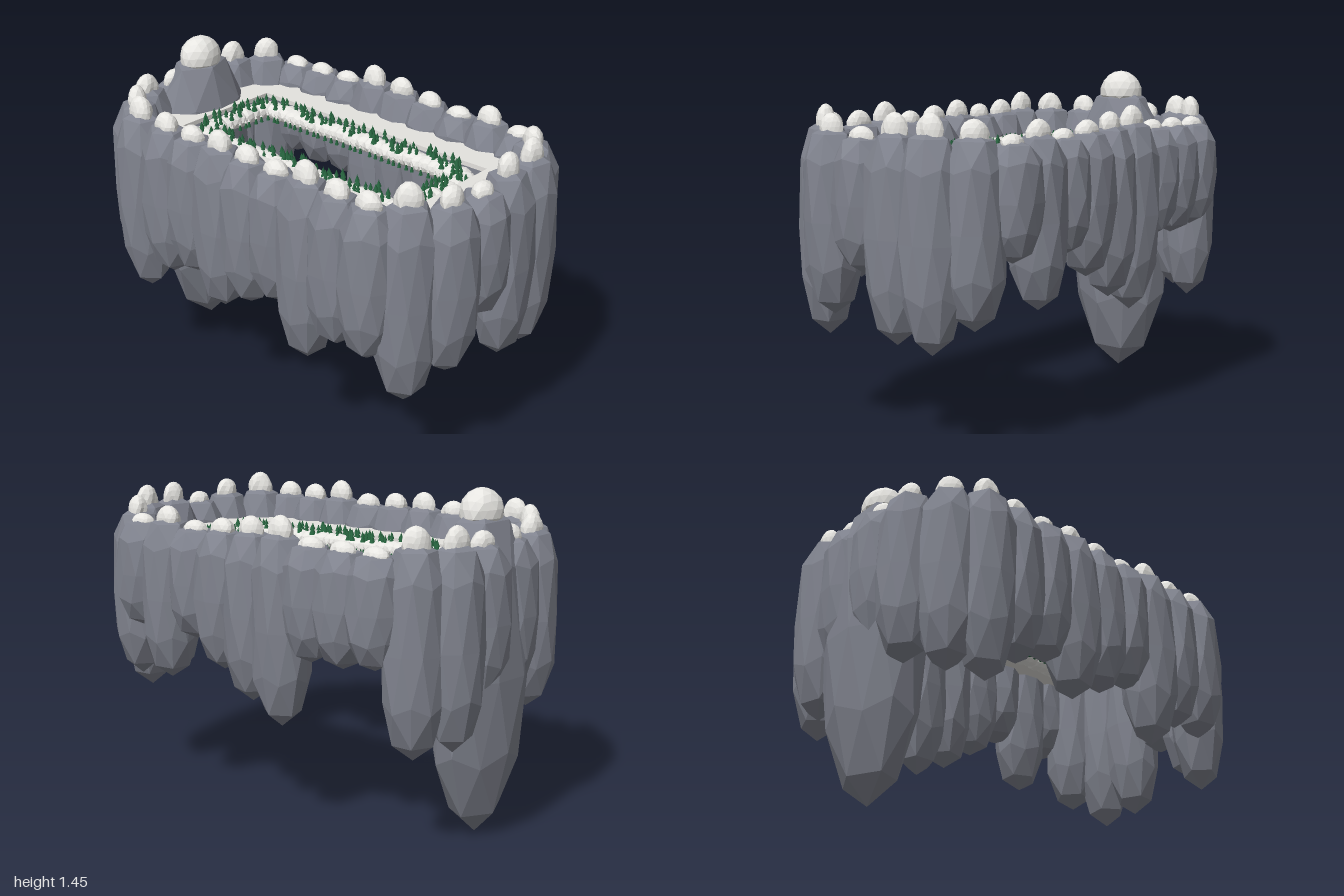
import * as THREE from 'three';
import { mergeGeometries } from 'three/addons/utils/BufferGeometryUtils.js';

const mat = (name, color) => {
  const m = new THREE.MeshStandardMaterial({ color });
  m.name = name;
  return m;
};

// Small seeded generator
let seed = 7;
const rand = () => (seed = (seed * 16807) % 2147483647) / 2147483647;
const spread = (r) => (rand() * 2 - 1) * r;

// Faceted ball with a vertex at each pole, reshaped by a rule on each point
function boulder(detail, rough, reshape = (x, y, z) => [x, y, z]) {
  const g = new THREE.IcosahedronGeometry(1, detail);
  g.rotateZ(Math.atan(2 / (1 + Math.sqrt(5))));
  g.rotateY(rand() * 6.28);
  const p = g.attributes.position, ph = rand() * 6;
  for (let i = 0; i < p.count; i++) {
    const x = p.getX(i), y = p.getY(i), z = p.getZ(i);
    const k = 1 + rough * Math.sin(x * 5 + z * 4 + y * 2 + ph) * (1 - y * y);
    p.setXYZ(i, ...reshape(x * k, y, z * k));
  }
  g.computeVertexNormals();
  return g;
}

// Full shoulders above, blunt point below
const hanging = (blunt) => (x, y, z) => {
  const k = 1 + blunt * y * y;
  return [x * k, y > 0 ? Math.pow(y, 0.65) : y, z * k];
};

// Dome with a low flat base
const dome = (x, y, z) => [x, Math.max(y, -0.3), z];

// Rounded rectangle centred near the origin
function roundedRect(path, hx, hz, r, cx = 0, cz = 0) {
  const q = Math.PI / 2;
  [[1, -1], [1, 1], [-1, 1], [-1, -1]].forEach(([sx, sz], i) =>
    path.absarc(cx + sx * (hx - r), cz + sz * (hz - r), r, (i - 1) * q, i * q));
  path.closePath();
  return path;
}

export function createModel() {
  const model = new THREE.Group();
  const rockMat = mat('slate rock', 0x80838e);
  const snowMat = mat('snow', 0xe8e7e3);
  const floorMat = mat('pale stone', 0xe4e2de);
  const treeMat = mat('pine green', 0x27653f);

  const add = (name, g, m, parent = model) => {
    const mesh = new THREE.Mesh(g, m);
    mesh.name = name;
    parent.add(mesh);
    return mesh;
  };

  // Ring of hanging rocks: x, z and height of the lower tip
  const rocks = [
    [-0.405, 0.77, 0.38], [-0.27, 0.87, 0.5], [-0.09, 0.88, 0.69],
    [0.085, 0.875, 0.42], [0.26, 0.865, 0.4], [0.4, 0.775, 0.5],
    [0.405, -0.77, 0.41], [0.27, -0.865, 0.43], [0.1, -0.87, 0.6],
    [-0.1, -0.87, 0.6], [-0.27, -0.865, 0.5], [-0.41, -0.77, 0.45],
  ];
  const leftTips = [0.77, 0.75, 0.75, 0.45, 0.53, 0.64, 0.75, 0.55, 0.76];
  const rightTips = [0.42, 0.55, 0.61, 0.5, 0.58, 0.65, 0.44, 0.57, 0.57];
  for (let i = 0; i < 9; i++) {
    const z = -0.645 + i * 0.162;
    rocks.push([0.487, z, leftTips[i]], [-0.495, z, rightTips[i]]);
  }

  const rockRing = new THREE.Group();
  rockRing.name = 'rockRing';
  const caps = new THREE.Group();
  caps.name = 'snowCaps';
  model.add(rockRing, caps);
  for (const [x, z, tip] of rocks) {
    const size = 0.75 - tip;
    const top = 1.245 + size * 0.13;
    const h = (top - tip) / 2;
    // Turn each rock to face out from the ring
    const cz = Math.sign(z) * Math.max(0, Math.abs(z) - 0.62);
    const cx = Math.sign(x) * Math.max(0, Math.abs(x) - 0.24);
    const yaw = Math.abs(z) < 0.66 ? Math.PI / 2 : Math.atan2(cx, cz);
    const rock = add('hangingRock', boulder(1, 0.05, hanging(0.27)), rockMat, rockRing);
    rock.scale.set(0.122 + size * 0.04, h, 0.122);
    rock.position.set(x, tip + h, z);
    rock.rotation.y = yaw;

    const cap = add('snowCap', boulder(2, 0.08, dome), snowMat, caps);
    cap.scale.set(0.058, 0.042 + size * 0.1, 0.042);
    cap.position.set(x, top - 0.022, z);
    cap.rotation.y = yaw;
  }

  // Great rock at the back, with its own cap
  const great = add('greatRock', boulder(1, 0.03, hanging(0)), rockMat);
  great.scale.set(0.262, 0.695, 0.184);
  great.position.set(0, 0.695, -0.8);
  const greatCap = add('greatSnowCap', boulder(2, 0.03, dome), snowMat);
  greatCap.scale.set(0.104, 0.1, 0.086);
  greatCap.position.set(0, 1.35, -0.795);

  // Floor plate with a rectangular opening
  const shape = roundedRect(new THREE.Shape(), 0.5, 0.88, 0.26);
  shape.holes.push(new THREE.Path([
    new THREE.Vector2(-0.272, -0.63), new THREE.Vector2(-0.272, 0.65),
    new THREE.Vector2(0.26, 0.65), new THREE.Vector2(0.26, -0.63),
  ]));
  const floor = new THREE.ExtrudeGeometry(shape, { depth: 0.02, bevelEnabled: false, curveSegments: 6 });
  floor.rotateX(Math.PI / 2);
  add('floor', floor, floorMat).position.y = 1.14;

  // Loop around the opening; the result gives a point on it for t
  const rim = (hx, hz, r) => {
    const path = roundedRect(new THREE.Path(), hx, hz, r, -0.006, 0.01);
    return (t) => path.getPointAt(t % 1);
  };

  // Lumpy snow bank lining the opening
  const bankLine = rim(0.215, 0.592, 0.06);
  const lumps = [];
  for (let i = 0; i < 72; i++) {
    const p = bankLine(i / 72);
    const g = boulder(1, 0.05);
    g.scale(0.051 + spread(0.003), 0.04, 0.051 + spread(0.003));
    g.translate(p.x, 1.095 + spread(0.004), p.y);
    lumps.push(g);
  }
  add('snowBank', mergeGeometries(lumps), snowMat);

  const cone = (r, h, x, y, z) => new THREE.ConeGeometry(r, h, 6).translate(x, y, z);

  // Pines scattered over the bank
  const pines = [];
  for (let i = 0; i < 200; i++) {
    const p = bankLine((i + rand()) / 200);
    const x = p.x + spread(0.04), z = p.y + spread(0.04);
    const s = 0.8 + rand() * 0.4;
    pines.push(cone(0.013 * s, 0.034 * s, x, 1.115 + 0.022 * s, z));
    pines.push(cone(0.01 * s, 0.026 * s, x, 1.115 + 0.04 * s, z));
  }

  // Small snow-topped pines along the inner rim
  const innerLine = rim(0.157, 0.535, 0.01);
  const tips = [];
  for (let i = 0; i < 76; i++) {
    const p = innerLine((i + rand() * 0.5) / 76);
    pines.push(cone(0.009, 0.036, p.x, 1.085, p.y));
    tips.push(cone(0.007, 0.016, p.x, 1.101, p.y));
  }
  add('pines', mergeGeometries(pines), treeMat);
  add('pineSnow', mergeGeometries(tips), snowMat);

  return model;
}
